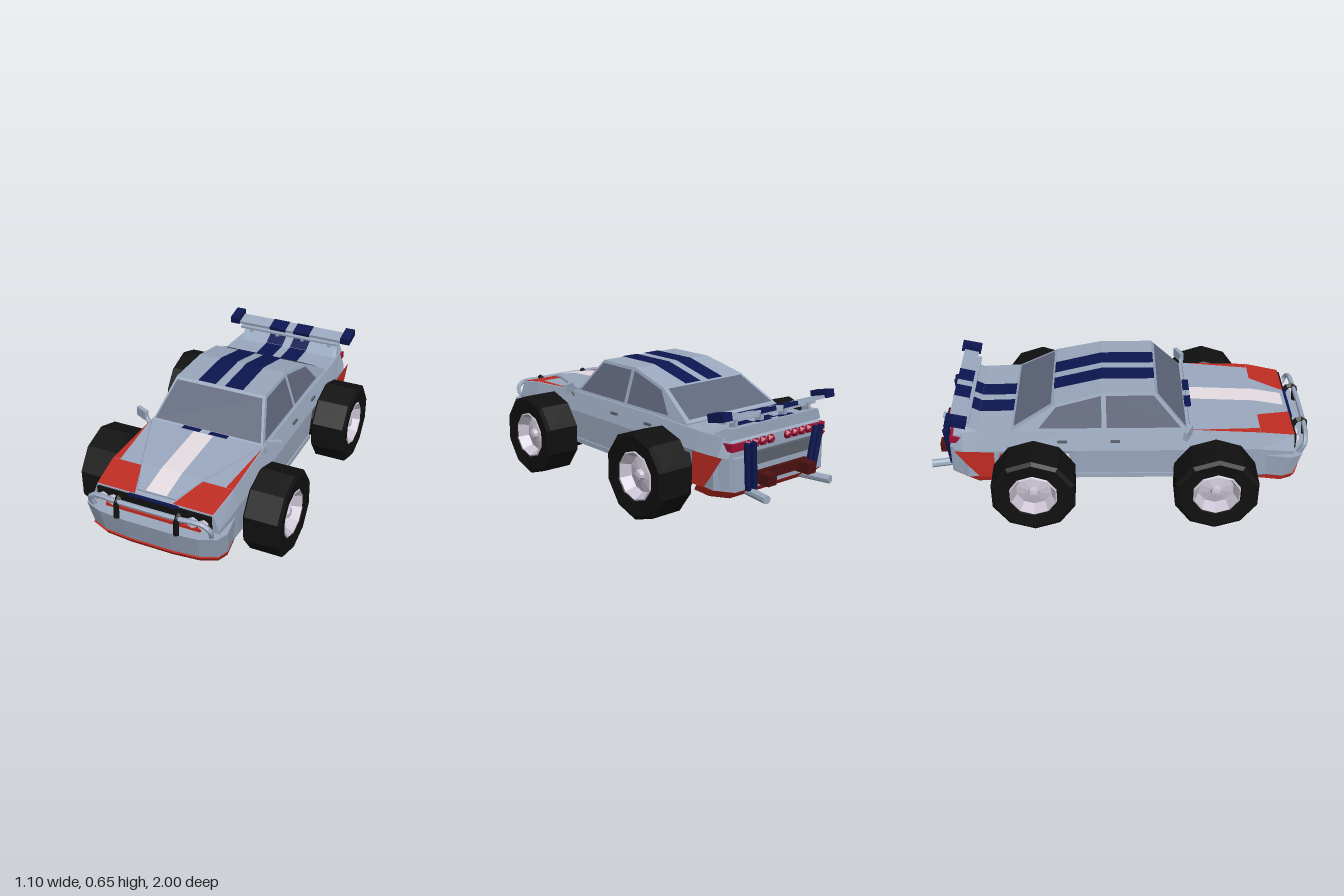
import * as THREE from 'three';

const mat = (color) => new THREE.MeshStandardMaterial({ color, flatShading: true, side: THREE.DoubleSide });
const M = {
  body: mat(0x9aa8be), glass: mat(0x5f677c), red: mat(0xbf2c22), navy: mat(0x0c1650), white: mat(0xe6dce2),
  black: mat(0x111010), rim: mat(0xc8c0d0), maroon: mat(0x4c1212), lamp: mat(0x9c1232), floor: mat(0x5a616c),
};
const V = (x, y, z) => new THREE.Vector3(x, y, z);

export function createModel() {
  const car = new THREE.Group();
  car.name = 'rallyCar';
  const add = (name, geo, m, x = 0, y = 0, z = 0) => {
    const mesh = new THREE.Mesh(geo, m);
    mesh.name = name;
    mesh.position.set(x, y, z);
    car.add(mesh);
    return mesh;
  };
  const box = (name, m, w, h, d, x, y, z) => add(name, new THREE.BoxGeometry(w, h, d), m, x, y, z);
  const tris = (pos) => {
    const g = new THREE.BufferGeometry();
    g.setAttribute('position', new THREE.Float32BufferAttribute(pos, 3));
    g.computeVertexNormals();
    return g;
  };
  // convex flat panel from corner points
  const panel = (name, m, pts) => {
    const pos = [];
    for (let i = 1; i < pts.length - 1; i++) pos.push(...pts[0], ...pts[i], ...pts[i + 1]);
    return add(name, tris(pos), m);
  };
  // stations run front to rear: [z, half section from bottom to top]
  const loft = (name, m, stations) => {
    const rings = stations.map(([z, half]) =>
      [...half, ...half.map(([x, y]) => [-x, y]).reverse()].map(([x, y]) => [x, y, z]));
    const n = rings[0].length, pos = [];
    for (let s = 0; s < rings.length - 1; s++) for (let i = 0; i < n; i++) {
      const j = (i + 1) % n, a = rings[s][i], b = rings[s][j], c = rings[s + 1][j], d = rings[s + 1][i];
      pos.push(...a, ...d, ...c, ...a, ...c, ...b);
    }
    const f = rings[0], r = rings[rings.length - 1];
    for (let i = 1; i < n - 1; i++) pos.push(...f[0], ...f[i], ...f[i + 1], ...r[0], ...r[i + 1], ...r[i]);
    return add(name, tris(pos), m);
  };
  // upright prism from a half plan of [x, z], with the bottom narrowed
  const prism = (name, m, plan, y0, y1, k = 1) => {
    const ring = [...plan, ...plan.map(([x, z]) => [-x, z]).reverse()];
    const g = new THREE.ExtrudeGeometry(new THREE.Shape(ring.map(([x, z]) => new THREE.Vector2(x, -z))),
      { depth: y1 - y0, bevelEnabled: false });
    g.rotateX(-Math.PI / 2).translate(0, y0, 0);
    const p = g.attributes.position;
    for (let i = 0; i < p.count; i++) if (p.getY(i) < y0 + 1e-4) p.setXYZ(i, p.getX(i) * k, y0, p.getZ(i) * k);
    g.computeVertexNormals();
    return add(name, g, m);
  };
  const rod = (name, m, a, b, r, sides = 8) => {
    const d = b.clone().sub(a);
    const mesh = add(name, new THREE.CylinderGeometry(r, r, d.length(), sides), m);
    mesh.position.copy(a).add(b).multiplyScalar(0.5);
    mesh.quaternion.setFromUnitVectors(V(0, 1, 0), d.normalize());
    return mesh;
  };
  // ribbon following [z, y] points
  const stripe = (name, m, x0, x1, path) => {
    for (let i = 0; i < path.length - 1; i++) {
      const [[z0, y0], [z1, y1]] = [path[i], path[i + 1]];
      panel(name, m, [[x0, y0, z0], [x1, y0, z0], [x1, y1, z1], [x0, y1, z1]]);
    }
  };

  // lower body: z, bottom, middle, top heights, then low, middle, top half widths
  const hull = [
    [0.9, 0.19, 0.335, 0.415, 0.33, 0.335, 0.305], [0.72, 0.19, 0.36, 0.445, 0.345, 0.35, 0.325],
    [0.34, 0.19, 0.36, 0.46, 0.345, 0.35, 0.32], [-0.23, 0.19, 0.36, 0.46, 0.345, 0.35, 0.32],
    [-0.26, 0.34, 0.36, 0.46, 0.345, 0.35, 0.32], [-0.61, 0.34, 0.36, 0.452, 0.345, 0.35, 0.325],
    [-0.65, 0.2, 0.36, 0.45, 0.345, 0.35, 0.325], [-0.8, 0.2, 0.36, 0.45, 0.34, 0.345, 0.315],
    [-0.85, 0.22, 0.36, 0.43, 0.32, 0.325, 0.3],
  ];
  loft('lowerBody', M.body, hull.map(([z, b, m, t, wb, wm, wt]) => [z, [[wb, b], [wm, m], [wt, t]]]));
  box('floorPan', M.floor, 0.68, 0.008, 1.08, 0, 0.187, 0.31);

  // cabin
  const sideX = (y) => 0.31 - 0.06 * (y - 0.46) / 0.19;
  loft('cabin', M.body, [[0.345, 0.461], [0.18, 0.65], [-0.09, 0.65], [-0.33, 0.59], [-0.55, 0.461]]
    .map(([z, y]) => [z, [[0.312, 0.45], [sideX(y), y]]]));
  panel('windscreen', M.glass, [[-0.297, 0.473, 0.341], [0.297, 0.473, 0.341], [0.24, 0.64, 0.195], [-0.24, 0.64, 0.195]]);
  panel('rearWindow', M.glass, [[0.285, 0.474, -0.537], [-0.285, 0.474, -0.537], [-0.25, 0.587, -0.345], [0.25, 0.587, -0.345]]);

  // raised bonnet
  loft('bonnet', M.body, [[0.875, 0.1, 0.428], [0.72, 0.165, 0.457], [0.36, 0.305, 0.473]]
    .map(([z, w, y]) => [z, [[w + 0.012, y - 0.03], [w, y]]]));
  stripe('bonnetStripe', M.white, -0.055, 0.055, [[0.876, 0.432], [0.72, 0.461], [0.38, 0.476]]);

  // bumpers and lips
  const frontPlan = [[0.345, 0.74], [0.368, 0.88], [0.345, 0.94], [0.26, 0.975], [0.12, 0.988]];
  prism('frontBumper', M.body, frontPlan, 0.19, 0.318, 0.965);
  prism('frontLip', M.red, frontPlan.map(([x, z]) => [x * 0.965, z * 0.975]), 0.16, 0.188, 0.98);
  const rearPlan = [[0.345, -0.66], [0.355, -0.78], [0.3, -0.87]];
  prism('rearBumper', M.body, rearPlan, 0.2, 0.36);
  prism('rearLip', M.red, rearPlan, 0.155, 0.199, 0.94);

  // grille
  box('grille', M.black, 0.6, 0.075, 0.03, 0, 0.37, 0.897);
  box('grilleTrim', M.red, 0.5, 0.015, 0.03, 0, 0.327, 0.91);
  box('bonnetLip', M.navy, 0.26, 0.01, 0.03, 0, 0.41, 0.9);

  // bull bar
  const bar = [V(-0.31, 0.315, 0.93), V(-0.315, 0.37, 0.955), V(-0.28, 0.398, 0.962), V(-0.15, 0.4, 0.97),
    V(0.15, 0.4, 0.97), V(0.28, 0.398, 0.962), V(0.315, 0.37, 0.955), V(0.31, 0.315, 0.93)];
  add('bullBar', new THREE.TubeGeometry(new THREE.CatmullRomCurve3(bar), 40, 0.013, 6), M.body);

  // wheel profiles as [radius, distance from wheel centre along the axle]
  const lathe = (pts) => new THREE.LatheGeometry(pts.map(([r, x]) => new THREE.Vector2(r, x)), 10, Math.PI / 2)
    .rotateZ(-Math.PI / 2);
  const tyre = lathe([[0.125, -0.09], [0.2, -0.097], [0.22, -0.085], [0.22, 0.085], [0.2, 0.097], [0.13, 0.09], [0.125, 0.07]]);
  const rim = lathe([[0.125, -0.09], [0.11, -0.03], [0.125, 0.085], [0.118, 0.09], [0.092, 0.035], [0.03, 0.05], [0.024, 0.07], [0, 0.075]]);
  const drum = lathe([[0, -0.21], [0.12, -0.21], [0.12, -0.09], [0, -0.09]]);

  for (const s of [1, -1]) {
    const side = s > 0 ? 'left' : 'right';
    for (const [end, z] of [['Front', 0.49], ['Rear', -0.435]]) {
      const wheel = new THREE.Group();
      wheel.name = `${side}${end}Wheel`;
      for (const [name, g, m] of [['tyre', tyre, M.black], ['rim', rim, M.rim], ['axleDrum', drum, M.black]]) {
        const part = new THREE.Mesh(g, m);
        part.name = name;
        wheel.add(part);
      }
      wheel.position.set(s * 0.452, 0.22, z);
      if (s < 0) wheel.rotation.y = Math.PI;
      car.add(wheel);
    }

    // side windows
    const onSide = (pts) => pts.map(([z, y]) => [s * (sideX(y) + 0.003), y, z]);
    panel('frontSideWindow', M.glass, onSide([[0.315, 0.473], [0.175, 0.636], [-0.065, 0.636], [-0.065, 0.473]]));
    panel('rearSideWindow', M.glass, onSide([[-0.09, 0.473], [-0.09, 0.636], [-0.32, 0.58], [-0.41, 0.473]]));
    for (const z of [-0.02, -0.29]) box('doorHandle', M.floor, 0.01, 0.012, 0.05, s * 0.34, 0.41, z);
    box('sideSkirt', M.body, 0.012, 0.025, 0.9, s * 0.347, 0.2, 0.22);

    // mirror
    box('mirror', M.body, 0.075, 0.05, 0.022, s * 0.37, 0.485, 0.345).rotation.y = s * 0.45;
    rod('mirrorArm', M.body, V(s * 0.315, 0.43, 0.36), V(s * 0.345, 0.48, 0.355), 0.012, 5);

    // red wing panels
    const top = (pts) => pts.map(([x, z, y]) => [s * x, y, z]);
    panel('wingRedFront', M.red, top([[0.304, 0.9, 0.419], [0.1, 0.9, 0.419], [0.165, 0.722, 0.449], [0.323, 0.722, 0.449]]));
    panel('wingRedStrip', M.red, top([[0.323, 0.72, 0.449], [0.285, 0.72, 0.449], [0.316, 0.36, 0.464]]));
    panel('rearQuarterRed', M.red, [[0.2, -0.64], [0.36, -0.64], [0.368, -0.84], [0.28, -0.78], [0.2, -0.72]]
      .map(([y, z]) => [s * 0.359, y, z]));

    // lamps and bull bar straps
    for (const x of [0.21, 0.265]) {
      const lamp = add('headlight', new THREE.CylinderGeometry(0.026, 0.026, 0.02, 6), M.rim, s * x, 0.362, 0.92);
      lamp.rotation.x = Math.PI / 2;
    }
    const strap = [V(s * 0.157, 0.33, 0.9), V(s * 0.157, 0.405, 0.935), V(s * 0.157, 0.41, 0.968), V(s * 0.157, 0.318, 0.985)];
    add('barStrap', new THREE.TubeGeometry(new THREE.CatmullRomCurve3(strap), 10, 0.016, 4), M.black);

    // twin stripes
    const [a, b] = [s * 0.025, s * 0.127];
    stripe('roofStripe', M.navy, a, b, [[0.182, 0.654], [-0.09, 0.654], [-0.335, 0.593]]);
    stripe('bootStripe', M.navy, a, b, [[-0.55, 0.459], [-0.61, 0.456], [-0.73, 0.455]]);
    stripe('cowlStripe', M.navy, a, b, [[0.38, 0.477], [0.345, 0.474]]);

    // wing supports, end plates and stripes
    stripe('tailStripe', M.navy, a, b, [[-0.73, 0.457], [-0.8, 0.494], [-0.835, 0.497]]);
    box('wingStripe', M.navy, 0.102, 0.02, 0.082, s * 0.076, 0.541, -0.815).rotation.x = 0.25;
    box('endPlate', M.navy, 0.055, 0.04, 0.105, s * 0.352, 0.555, -0.815).rotation.x = 0.22;
    for (const x of [0.08, 0.25]) box('wingSupport', M.body, 0.018, 0.08, 0.04, s * x, 0.5, -0.8);

    // rear lamps, braces and exhausts
    for (const x of [0.06, 0.11, 0.16, 0.21]) add('rearLamp', new THREE.IcosahedronGeometry(0.025, 0), M.lamp, s * x, 0.41, -0.855);
    box('rearCornerLamp', M.lamp, 0.09, 0.035, 0.06, s * 0.275, 0.41, -0.835);
    rod('brace', M.navy, V(s * 0.185, 0.2, -0.88), V(s * 0.215, 0.43, -0.895), 0.016, 6);
    rod('brace', M.navy, V(s * 0.225, 0.2, -0.88), V(s * 0.255, 0.43, -0.895), 0.016, 6);
    box('towBlock', M.maroon, 0.055, 0.055, 0.09, s * 0.138, 0.245, -0.905);
    rod('exhaust', M.body, V(s * 0.18, 0.18, -0.78), V(s * 0.222, 0.182, -0.995), 0.021);
  }

  // tail lip, wing and tail panel
  loft('tailLip', M.body, [[-0.72, 0.45], [-0.8, 0.49], [-0.84, 0.493]].map(([z, y]) => [z, [[0.315, 0.44], [0.295, y]]]));
  box('upperWing', M.body, 0.66, 0.016, 0.08, 0, 0.541, -0.815).rotation.x = 0.25;
  box('lowerWing', M.body, 0.62, 0.012, 0.05, 0, 0.515, -0.785).rotation.x = 0.15;
  box('tailPanel', M.maroon, 0.34, 0.05, 0.03, 0, 0.255, -0.875);
  box('tailRecess', M.floor, 0.46, 0.06, 0.02, 0, 0.34, -0.865);
  return car;
}
